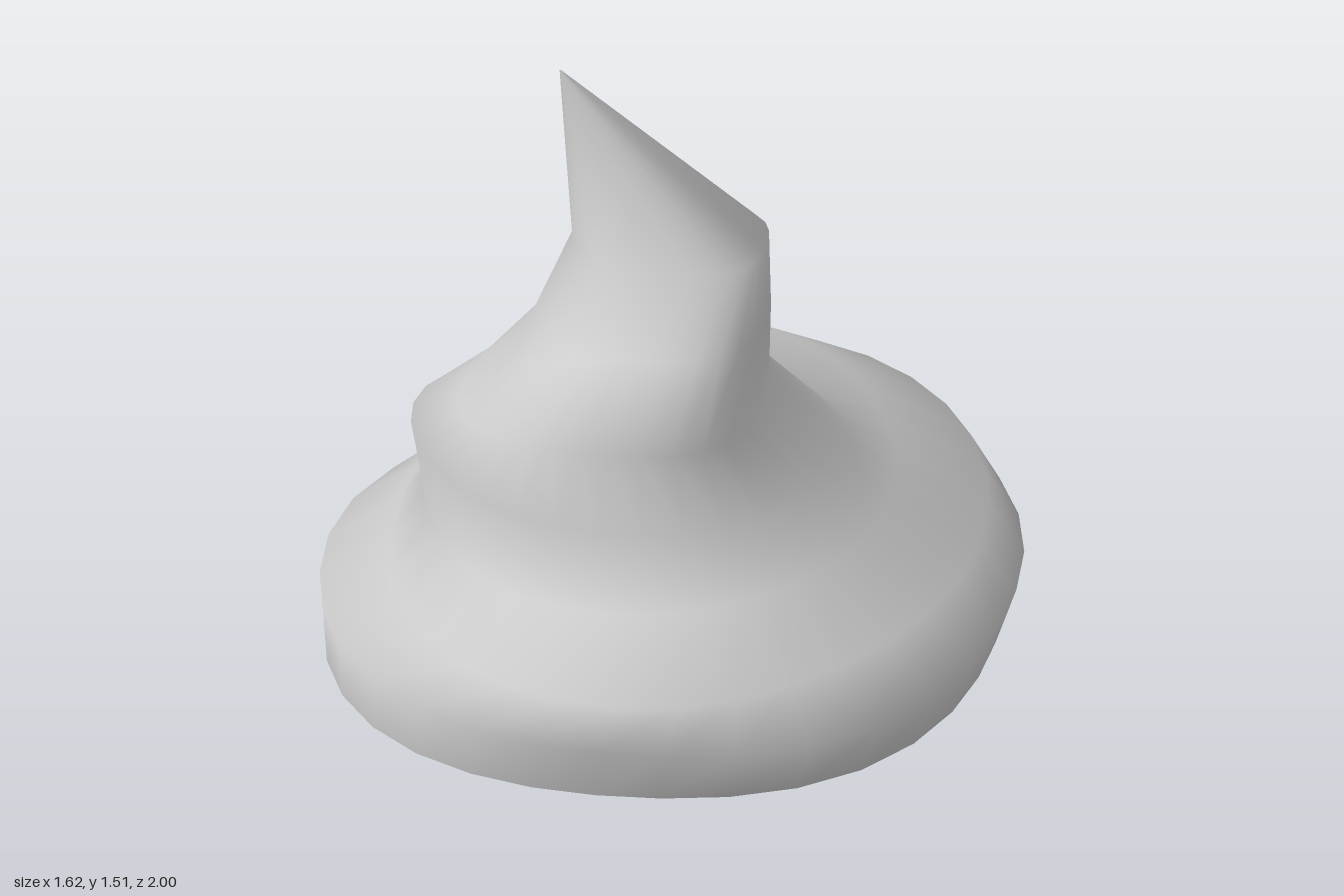
import * as THREE from 'three';

const SEGMENTS = 32;

// Each ring: [offset, height] at left (+x), front (+z), right (-x), back (-z),
// then bulge factors on the diagonals: +x+z, -x+z, -x-z, +x-z.
const RINGS = [
  { left: [0.765, 0], front: [0.945, 0], right: [-0.80, 0], back: [-0.91, 0], bulge: [1.06, 1.03, 0.92, 0.84] },
  { left: [0.81, 0.13], front: [0.985, 0.13], right: [-0.815, 0.13], back: [-1.0, 0.13], bulge: [1.08, 1.02, 0.92, 1] },
  { left: [0.73, 0.26], front: [1.0, 0.26], right: [-0.64, 0.26], back: [-0.945, 0.26], bulge: [0.98, 1.02, 0.95, 1] },
  { left: [0.53, 0.39], front: [0.80, 0.40], right: [-0.56, 0.39], back: [-0.64, 0.45], bulge: [1, 1, 1, 1] },
  { left: [0.45, 0.52], front: [0.63, 0.52], right: [-0.585, 0.58], back: [-0.31, 0.52], bulge: [1, 1, 0.96, 1] },
  { left: [0.26, 0.70], front: [0.71, 0.77], right: [-0.46, 0.68], back: [-0.25, 0.70], bulge: [1.08, 0.97, 0.95, 0.95] },
  { left: [0.25, 0.87], front: [0.48, 0.90], right: [-0.33, 0.78], back: [-0.20, 0.89], bulge: [1.08, 1.08, 1.02, 1] },
  { left: [0.24, 1.04], front: [0.31, 1.04], right: [-0.215, 1.04], back: [-0.08, 1.04], bulge: [1.08, 1, 1.15, 1.1] },
  { left: [-0.228, 1.51], front: [0.217, 1.51], right: [-0.23, 1.51], back: [0.215, 1.51], bulge: [1, 1, 1, 1] },
];

// Point on a ring: an ellipse through the four sides, with blended heights
function ringPoint({ left, front, right, back, bulge }, angle) {
  const c = Math.cos(angle), s = Math.sin(angle);
  let scale = 1;
  bulge.forEach((b, k) => {
    const delta = angle - (k + 0.5) * Math.PI / 2;
    if (Math.abs(delta) < Math.PI / 4) scale += (b - 1) * Math.cos(2 * delta) ** 2;
  });
  const x = (left[0] + right[0]) / 2 + (left[0] - right[0]) / 2 * c * scale;
  const z = (front[0] + back[0]) / 2 + (front[0] - back[0]) / 2 * s * scale;
  const y = (c > 0 ? left[1] : right[1]) * c * c + (s > 0 ? front[1] : back[1]) * s * s;
  return [x, y, z];
}

function makeGeometry(positions, indices) {
  const geometry = new THREE.BufferGeometry();
  geometry.setAttribute('position', new THREE.Float32BufferAttribute(positions, 3));
  geometry.setIndex(indices);
  geometry.computeVertexNormals();
  return geometry;
}

const ringPoints = (ring) =>
  Array.from({ length: SEGMENTS }, (_, j) => ringPoint(ring, j / SEGMENTS * Math.PI * 2));

export function createModel() {
  const group = new THREE.Group();
  group.name = 'swirlMound';
  const material = new THREE.MeshStandardMaterial({ color: 0xcccccc });

  // Swirled body, lofted up to the leaning tip
  const bodyIndices = [];
  for (let i = 0; i < RINGS.length - 1; i++) {
    for (let j = 0; j < SEGMENTS; j++) {
      const a = i * SEGMENTS + j, b = i * SEGMENTS + (j + 1) % SEGMENTS;
      bodyIndices.push(a, a + SEGMENTS, b, b, a + SEGMENTS, b + SEGMENTS);
    }
  }
  const body = new THREE.Mesh(makeGeometry(RINGS.flatMap(ringPoints).flat(), bodyIndices), material);
  body.name = 'swirlBody';
  group.add(body);

  // Flat underside
  const baseIndices = [];
  for (let j = 0; j < SEGMENTS; j++) baseIndices.push(SEGMENTS, j, (j + 1) % SEGMENTS);
  const base = new THREE.Mesh(makeGeometry([...ringPoints(RINGS[0]).flat(), 0, 0, 0], baseIndices), material);
  base.name = 'flatBase';
  group.add(base);

  return group;
}
